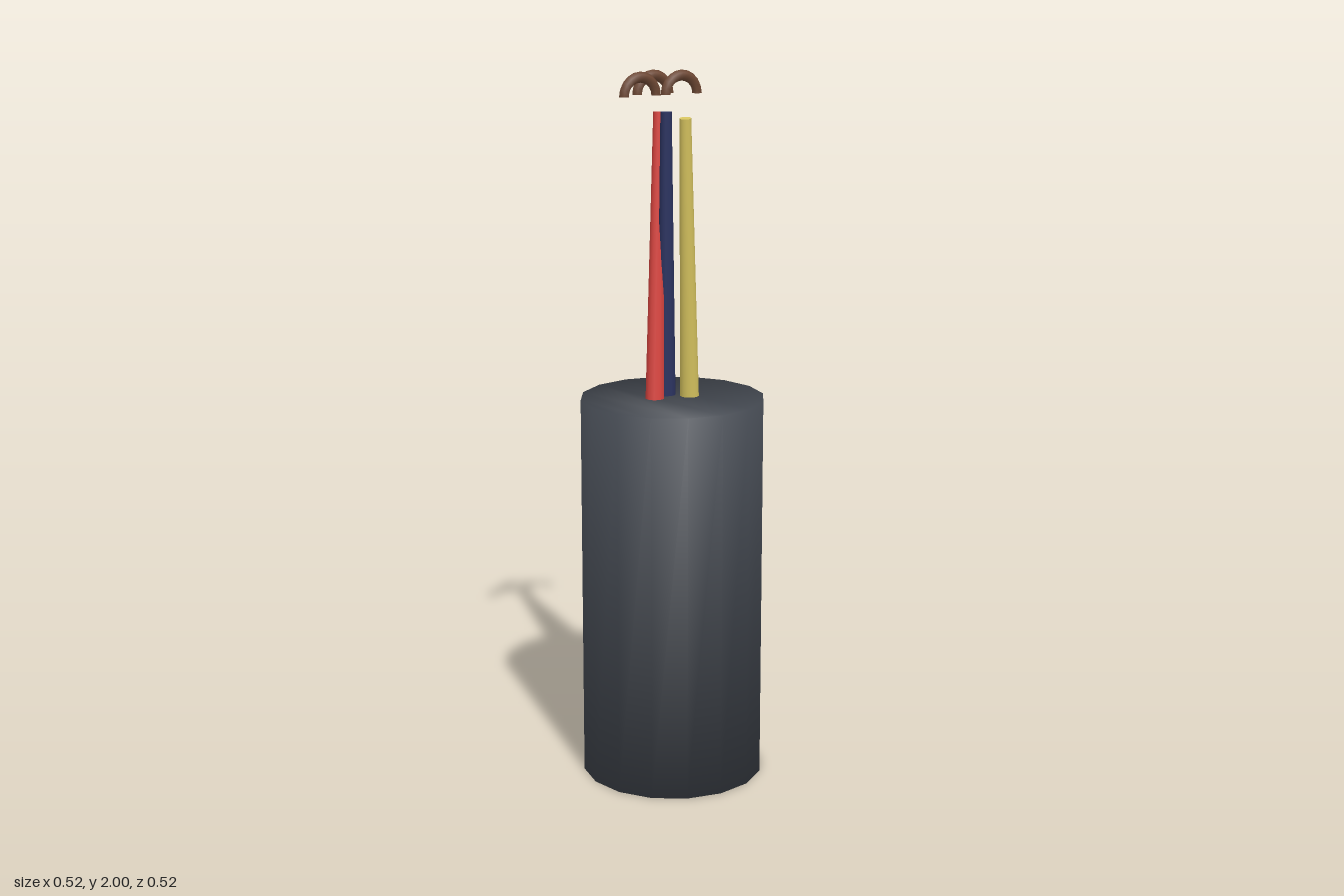
import * as THREE from 'three';

const mat = (name, color, side = THREE.FrontSide) => {
  const m = new THREE.MeshStandardMaterial({ color, side });
  m.name = name;
  return m;
};

// Closed 16-sided body whose soft normals run over the rims
function softCylinder(radius, height, sides) {
  const pos = [], nor = [], idx = [];
  for (const y of [0, 1]) {
    for (let i = 0; i < sides; i++) {
      const a = (i / sides) * Math.PI * 2;
      const c = Math.cos(a), s = Math.sin(a);
      pos.push(c * radius, y * height, s * radius);
      nor.push(c * Math.SQRT1_2, (y * 2 - 1) * Math.SQRT1_2, s * Math.SQRT1_2);
    }
  }
  for (let i = 0; i < sides; i++) {
    const j = (i + 1) % sides;
    idx.push(i, i + sides, j, j, i + sides, j + sides);
  }
  // Caps cut into strips between mirrored rim points
  for (let i = 0; i < sides / 2; i++) {
    const j = i + 1, mi = (sides - i) % sides, mj = sides - j;
    for (const [a, b, c] of [[i, j, mj], [i, mj, mi]]) {
      if (a === b || b === c || a === c) continue;
      idx.push(a, b, c, a + sides, c + sides, b + sides);
    }
  }
  const g = new THREE.BufferGeometry();
  g.setAttribute('position', new THREE.Float32BufferAttribute(pos, 3));
  g.setAttribute('normal', new THREE.Float32BufferAttribute(nor, 3));
  g.setIndex(idx);
  return g;
}

// Tapered stick between two points
function stick(name, base, tip, sides, material) {
  const a = new THREE.Vector3(...base), b = new THREE.Vector3(...tip);
  const dir = b.clone().sub(a);
  const mesh = new THREE.Mesh(
    new THREE.CylinderGeometry(0.016, 0.027, dir.length(), sides), material);
  mesh.name = name;
  mesh.position.copy(a).add(b).multiplyScalar(0.5);
  mesh.quaternion.setFromUnitVectors(new THREE.Vector3(0, 1, 0), dir.normalize());
  return mesh;
}

// Half ring with closed ends
function arch(name, x, z, material) {
  const R = 0.051, r = 0.015;
  const group = new THREE.Group();
  group.name = name;
  group.position.set(x, 1.934, z);
  const ring = new THREE.Mesh(new THREE.TorusGeometry(R, r, 6, 10, Math.PI), material);
  ring.name = name + 'Ring';
  group.add(ring);
  for (const side of [-1, 1]) {
    const end = new THREE.Mesh(new THREE.CircleGeometry(r, 6), material);
    end.name = name + 'End';
    end.rotation.x = Math.PI / 2;
    end.position.x = side * R;
    group.add(end);
  }
  return group;
}

export function createModel() {
  const model = new THREE.Group();
  model.name = 'container';

  const charcoal = mat('charcoal', 0x42474f);
  const red = mat('red', 0xd8443f);
  const yellow = mat('yellow', 0xd8c560);
  const blue = mat('navy', 0x2b3360);
  const brown = mat('brown', 0x6e4834);

  // Body
  const body = new THREE.Mesh(softCylinder(0.259, 1.1, 16), charcoal);
  body.name = 'body';
  model.add(body);

  // Sticks rising from the top
  model.add(
    stick('redStick', [-0.052, 1.08, -0.01], [0.012, 1.885, -0.09], 10, red),
    stick('blueStick', [0.002, 1.08, -0.036], [0.002, 1.89, -0.036], 10, blue),
    stick('yellowStick', [0.051, 1.08, 0.009], [-0.018, 1.885, 0.094], 16, yellow)
  );

  // Floating arches: a front pair and one behind
  model.add(
    arch('leftArch', 0.066, -0.06, brown),
    arch('rightArch', -0.066, -0.06, brown),
    arch('backArch', 0, -0.101, brown)
  );
  return model;
}
